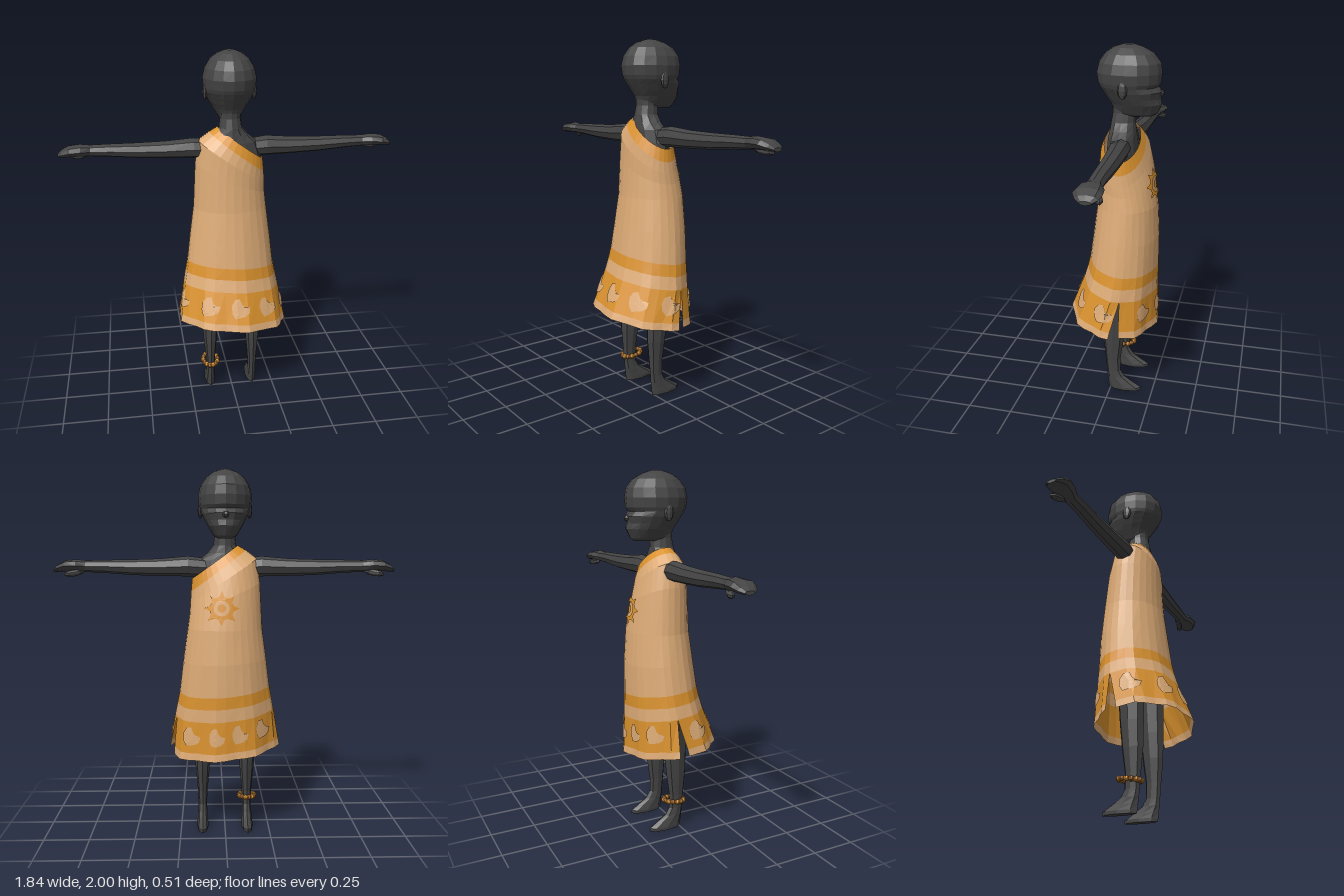
import * as THREE from 'three';

const mat = (name, color) => {
  const m = new THREE.MeshStandardMaterial({ color, flatShading: true, side: THREE.DoubleSide });
  m.name = name;
  return m;
};

// Skin a list of rings (arrays of [x, y, z]) into a surface
function loft(rings, closed = true, caps = true) {
  const n = rings[0].length, pos = rings.flat(2), idx = [];
  const cols = closed ? n : n - 1;
  for (let i = 0; i < rings.length - 1; i++) {
    for (let j = 0; j < cols; j++) {
      const a = i * n + j, b = i * n + (j + 1) % n;
      idx.push(a, a + n, b, b, a + n, b + n);
    }
  }
  if (caps) {
    const top = (rings.length - 1) * n;
    for (let j = 1; j < n - 1; j++) idx.push(0, j, j + 1, top, top + j + 1, top + j);
  }
  const g = new THREE.BufferGeometry();
  g.setAttribute('position', new THREE.Float32BufferAttribute(pos, 3));
  g.setIndex(idx);
  g.computeVertexNormals();
  return g;
}

const around = (n, f) => Array.from({ length: n }, (_, j) => f((j / n) * Math.PI * 2));

// Upright rings given as [y, half width, z at face side, z at rear]
const upright = (rows, n, cx = 0) => loft(rows.map(([y, w, zf, zb]) =>
  around(n, a => [cx + w * Math.cos(a), y, (zf + zb) / 2 + Math.sin(a) * (zb - zf) / 2])));

// Dress rings: [y, slope in x, slope in z, centre x, centre z, radius x, radius z, fold depth]
const DRESS = [
  [0.47, -0.085, 0.11, 0, -0.005, 0.312, 0.252, 0.035],
  [0.51, -0.085, 0.11, 0, -0.01, 0.305, 0.243, 0.03],
  [0.685, -0.085, 0.11, 0, -0.04, 0.275, 0.21, 0.018],
  [0.755, -0.085, 0.11, 0, -0.05, 0.262, 0.2, 0.014],
  [0.82, -0.085, 0.11, 0, -0.057, 0.25, 0.193, 0.01],
  [0.98, -0.04, 0.05, 0, -0.067, 0.23, 0.183, 0.006],
  [1.15, 0, 0, 0, -0.072, 0.206, 0.167, 0],
  [1.315, -0.44, 0, 0.001, -0.065, 0.194, 0.15, 0],
  [1.415, -0.657, 0, 0.008, -0.055, 0.183, 0.137, 0],
  [1.489, -0.745, 0, 0.036, -0.05, 0.151, 0.12, 0],
  [1.55, -0.72, 0, 0.055, -0.05, 0.125, 0.095, 0],
];
const SLIT = 0.2;
const GAP = [0.11, 0.095];

function dressRing(i, start, end, segs) {
  const [y, sx, sz, cx, cz, rx, rz, fold] = DRESS[i];
  const gap = GAP[i] || 0, ring = [];
  for (let j = 0; j <= segs; j++) {
    const a = start + gap + (end - start - 2 * gap) * j / segs;
    const f = 1 + fold * Math.cos(9 * a);
    const x = cx + rx * f * Math.cos(a), z = cz + rz * f * Math.sin(a);
    ring.push([x, y + sx * x + sz * z, z]);
  }
  return ring;
}

export function createModel() {
  const root = new THREE.Group();
  root.name = 'figure';
  const skin = mat('charcoal skin', 0x444444);
  const cloth = mat('tan cloth', 0xdeac77);
  const trim = mat('orange trim', 0xda922e);
  const brown = mat('brown bead', 0xa5682a);
  const add = (name, geo, material, parent = root) => {
    const m = new THREE.Mesh(geo, material);
    m.name = name;
    parent.add(m);
    return m;
  };

  // Head with brow, eye hollow, nose and chin
  add('head', upright([
    [1.635, 0.035, -0.2, -0.03], [1.65, 0.062, -0.225, 0.005], [1.7, 0.092, -0.248, 0.025],
    [1.73, 0.108, -0.242, 0.045], [1.765, 0.125, -0.25, 0.068], [1.79, 0.134, -0.228, 0.083],
    [1.81, 0.14, -0.242, 0.092], [1.86, 0.145, -0.247, 0.1], [1.91, 0.133, -0.24, 0.088],
    [1.955, 0.105, -0.205, 0.055], [1.985, 0.065, -0.15, 0.01], [2, 0.025, -0.1, -0.04],
  ], 16), skin);
  add('nose', new THREE.SphereGeometry(0.018, 6, 4), skin).position.set(0, 1.757, -0.243);
  for (const s of [-1, 1]) {
    const ear = add('ear', new THREE.SphereGeometry(1, 8, 6), skin);
    ear.scale.set(0.014, 0.045, 0.026);
    ear.position.set(s * 0.133, 1.785, -0.065);
  }

  // Torso, bare shoulder and neck
  add('torso', upright([
    [0.8, 0.15, -0.15, 0.05], [1.1, 0.14, -0.15, 0.05], [1.35, 0.165, -0.145, 0.05],
    [1.45, 0.168, -0.13, 0.04], [1.52, 0.145, -0.12, 0.035], [1.56, 0.095, -0.115, 0.03],
    [1.6, 0.063, -0.11, 0.025], [1.65, 0.056, -0.11, 0.015], [1.72, 0.06, -0.12, 0.02],
  ], 12), skin);

  // Arms: [x, centre y, half height, centre z, half depth]
  const armRows = [
    [0.1, 1.48, 0.05, -0.055, 0.05], [0.2, 1.487, 0.055, -0.06, 0.055],
    [0.35, 1.482, 0.047, -0.065, 0.05], [0.5, 1.482, 0.042, -0.07, 0.045],
    [0.65, 1.487, 0.035, -0.075, 0.041], [0.75, 1.488, 0.031, -0.08, 0.04],
    [0.8, 1.492, 0.033, -0.08, 0.06], [0.86, 1.49, 0.029, -0.08, 0.068],
    [0.9, 1.478, 0.02, -0.085, 0.052], [0.92, 1.468, 0.01, -0.085, 0.028],
  ];
  const armGeo = loft(armRows.map(([x, y, h, z, d]) =>
    around(8, a => [x, y + h * Math.sin(a), z + d * Math.cos(a)])));
  for (const s of [-1, 1]) {
    const arm = new THREE.Group();
    arm.name = s > 0 ? 'leftArm' : 'rightArm';
    arm.scale.x = s;
    root.add(arm);
    add('armAndHand', armGeo, skin, arm);
    const thumb = add('thumb', new THREE.SphereGeometry(1, 6, 5), skin, arm);
    thumb.scale.set(0.055, 0.018, 0.02);
    thumb.position.set(0.81, 1.453, -0.115);
    thumb.rotation.set(0, 0.35, -0.15);

    // Leg and foot in one sweep
    add('legAndFoot', upright([
      [0, 0.031, -0.182, 0.008], [0.018, 0.032, -0.184, 0.012], [0.045, 0.029, -0.14, 0.015],
      [0.08, 0.026, -0.085, 0.02], [0.12, 0.024, -0.06, 0.023], [0.2, 0.028, -0.058, 0.03],
      [0.33, 0.04, -0.077, 0.043], [0.47, 0.048, -0.092, 0.046], [0.85, 0.065, -0.12, 0.05],
    ], 8, s * 0.127), skin);
  }

  // Dress: rear and face-side panels that part at the side slits
  const dress = new THREE.Group();
  dress.name = 'dress';
  root.add(dress);
  const bands = [
    ['hem', 0, 1, cloth], ['wideBand', 1, 2, trim], ['gapBand', 2, 3, cloth],
    ['narrowBand', 3, 4, trim], ['body', 4, 9, cloth], ['neckTrim', 9, 10, trim],
  ];
  const panels = [['rear', -SLIT, Math.PI + SLIT, 16], ['face', Math.PI + SLIT, 2 * Math.PI - SLIT, 14]];
  for (const [side, start, end, segs] of panels) {
    for (const [name, lo, hi, m] of bands) {
      const rings = [];
      for (let i = lo; i <= hi; i++) rings.push(dressRing(i, start, end, segs));
      add(side + name[0].toUpperCase() + name.slice(1), loft(rings, false, false), m, dress);
    }
  }

  // Thin patches laid on the cloth; outline is a list of [u, v] around a centre
  const targets = [...dress.children], ray = new THREE.Raycaster();
  function patch(name, material, angle, y, outline, inner = 0, radius = 0.27) {
    const rings = [1, 0.66, 0.33, 0].map(t => inner + (1 - inner) * t).map(k => outline.map(([u, v]) => {
      const a = angle - u * k / radius, h = y + v * k;
      const dir = new THREE.Vector3(-Math.cos(a), 0, -Math.sin(a));
      const from = new THREE.Vector3(0, h, -0.05).addScaledVector(dir, -1);
      ray.set(from, dir);
      const hit = ray.intersectObjects(targets, false)[0];
      const p = from.addScaledVector(dir, (hit ? hit.distance : 0.75) - 0.007);
      return [p.x, p.y, p.z];
    }));
    add(name, loft(rings, true, false), material);
  }

  // Leaf-like motifs around the wide band
  const motif = [[0.06, 0.005], [0.03, 0.012], [0.015, 0.022], [0, 0.055], [-0.03, 0.05], [-0.05, 0.02],
    [-0.048, -0.02], [-0.03, -0.05], [0, -0.045], [0.025, -0.04], [0.05, -0.025]].reverse();
  for (const a of [0.2, 0.85, 1.5, 2.15, 2.85, 3.75, 4.35, 4.95, 5.6]) {
    const y = 0.598 - 0.025 * Math.cos(a) + 0.024 * Math.sin(a);
    patch('bandMotif', cloth, a, y, motif);
  }

  // Sun emblem on the chest
  const circle = (r, n) => around(n, a => [r * Math.cos(-a), r * Math.sin(-a)]);
  const EMB = [-Math.PI / 2 + 0.12, 1.27];
  patch('emblemDot', trim, ...EMB, circle(0.022, 10), 0, 0.17);
  patch('emblemRing', trim, ...EMB, circle(0.062, 16), 0.66, 0.17);
  for (let k = 0; k < 8; k++) {
    const t = k * Math.PI / 4, at = (r, d) => [r * Math.cos(t + d), r * Math.sin(t + d)];
    const tip = [at(0.058, -0.3), at(0.058, 0.3), at(0.092, 0)];
    const cx = 0.07 * Math.cos(t), cy = 0.07 * Math.sin(t);
    patch('emblemRay', trim, EMB[0] - cx / 0.17, EMB[1] + cy,
      tip.map(([u, v]) => [u - cx, v - cy]).reverse(), 0, 0.17);
  }

  // Beaded anklet
  const anklet = new THREE.Group();
  anklet.name = 'anklet';
  anklet.position.set(-0.127, 0.167, -0.03);
  anklet.rotation.x = 0.12;
  root.add(anklet);
  const bead = new THREE.SphereGeometry(0.015, 7, 5);
  for (let k = 0; k < 14; k++) {
    const a = k / 14 * Math.PI * 2;
    add('bead', bead, k % 2 ? trim : brown, anklet).position.set(0.043 * Math.cos(a), 0, 0.06 * Math.sin(a));
  }
  return root;
}
